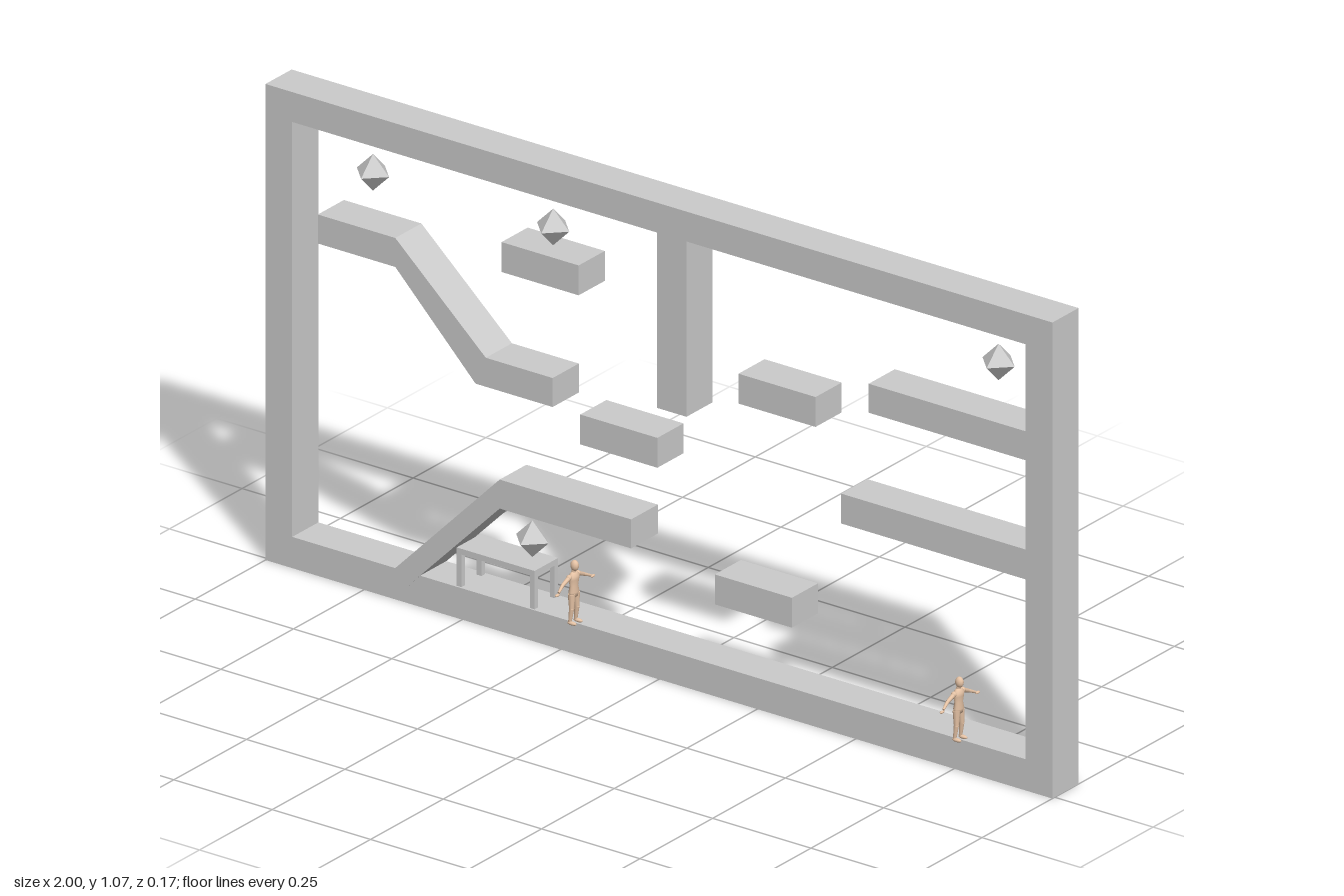
import * as THREE from 'three';

const grey = new THREE.MeshStandardMaterial({ color: 0xcccccc, flatShading: true });
const skin = new THREE.MeshStandardMaterial({ color: 0xe6c3a5 });
const BACK = -0.082, FRONT = 0.008, MID = (BACK + FRONT) / 2;

function add(parent, name, geometry, material = grey) {
  const mesh = new THREE.Mesh(geometry, material);
  mesh.name = name;
  parent.add(mesh);
  return mesh;
}

// Box given by its limits on each axis
function block(parent, name, x0, x1, y0, y1, z0 = BACK, z1 = FRONT) {
  const mesh = add(parent, name, new THREE.BoxGeometry(x1 - x0, y1 - y0, z1 - z0));
  mesh.position.set((x0 + x1) / 2, (y0 + y1) / 2, (z0 + z1) / 2);
}

// Outline in x, y extruded through the depth of the level
function slab(parent, name, points, hole, extra = 0) {
  const shape = new THREE.Shape(points.map(p => new THREE.Vector2(...p)));
  if (hole) shape.holes.push(new THREE.Path(hole.map(p => new THREE.Vector2(...p))));
  const depth = FRONT - BACK + 2 * extra;
  add(parent, name, new THREE.ExtrudeGeometry(shape, { depth, bevelEnabled: false }))
    .position.z = BACK - extra;
}

// Tapered limb between two points
function limb(parent, name, from, to, r0, r1) {
  const a = new THREE.Vector3(...from), b = new THREE.Vector3(...to);
  const dir = b.clone().sub(a);
  const mesh = add(parent, name, new THREE.CylinderGeometry(r1, r0, dir.length(), 10), skin);
  mesh.position.copy(a).add(b).multiplyScalar(0.5);
  mesh.quaternion.setFromUnitVectors(new THREE.Vector3(0, 1, 0), dir.normalize());
}

function ball(parent, name, at, size) {
  const mesh = add(parent, name, new THREE.SphereGeometry(1, 12, 8), skin);
  mesh.position.set(...at);
  mesh.scale.set(...size);
}

// Standing person facing +x, arms held out to the sides
function person(x) {
  const g = new THREE.Group();
  g.name = 'person';
  g.position.set(x, 0.072, 0.015);
  const profile = [[0, 0.06], [0.012, 0.062], [0.0145, 0.072], [0.0115, 0.086],
    [0.0145, 0.1], [0.015, 0.108], [0.008, 0.115], [0, 0.117]];
  const torso = add(g, 'torso',
    new THREE.LatheGeometry(profile.map(p => new THREE.Vector2(...p)), 16), skin);
  torso.scale.x = 0.62;
  limb(g, 'neck', [-0.001, 0.112, 0], [0.001, 0.124, 0], 0.005, 0.0045);
  ball(g, 'head', [0.002, 0.13, 0], [0.0095, 0.012, 0.008]);
  for (const s of [1, -1]) {
    ball(g, 'shoulder', [-0.001, 0.107, s * 0.015], [0.006, 0.006, 0.006]);
    limb(g, 'upperArm', [-0.001, 0.107, s * 0.014], [-0.002, 0.097, s * 0.036], 0.0052, 0.004);
    limb(g, 'forearm', [-0.002, 0.097, s * 0.036], [0.002, 0.088, s * 0.055], 0.004, 0.0026);
    ball(g, 'hand', [0.003, 0.085, s * 0.061], [0.0035, 0.003, 0.007]);
    limb(g, 'thigh', [0, 0.068, s * 0.0075], [0.001, 0.036, s * 0.009], 0.0082, 0.0055);
    limb(g, 'shin', [0.001, 0.036, s * 0.009], [-0.003, 0.004, s * 0.01], 0.0056, 0.0035);
    ball(g, 'foot', [0.003, 0.004, s * 0.0105], [0.0115, 0.0042, 0.0048]);
  }
  return g;
}

export function createModel() {
  const model = new THREE.Group();
  model.name = 'platformLevel';

  // Outer frame with one large opening
  slab(model, 'frame',
    [[-1, 0], [1, 0], [1, 1.067], [-1, 1.067]],
    [[-0.932, 0.07], [-0.932, 1], [0.932, 1], [0.932, 0.07]]);

  // Hanging pillar and wall shelves
  block(model, 'hangingPillar', -0.005, 0.07, 0.607, 1);
  block(model, 'upperShelf', 0.533, 0.932, 0.74, 0.805);
  block(model, 'lowerShelf', 0.463, 0.932, 0.473, 0.54);

  // Floating platforms: left edge and bottom
  for (const [x, y] of [[-0.4, 0.806], [0.202, 0.672], [-0.2, 0.473], [0.142, 0.206]]) {
    block(model, 'platform', x, x + 0.196, y, y + 0.067);
  }

  // Sloping platform and floor ramp
  slab(model, 'slopedPlatform', [[-0.867, 0.745], [-0.67, 0.745], [-0.466, 0.538],
    [-0.27, 0.538], [-0.27, 0.603], [-0.44, 0.603], [-0.67, 0.81], [-0.867, 0.81]]);
  slab(model, 'ramp', [[-0.67, 0.07], [-0.645, 0.03], [-0.607, 0.07], [-0.404, 0.275],
    [-0.07, 0.275], [-0.07, 0.34], [-0.404, 0.34]], null, 0.001);

  // Table under the ramp
  const table = new THREE.Group();
  table.name = 'table';
  model.add(table);
  block(table, 'tableTop', -0.517, -0.319, 0.143, 0.156, -0.077, 0.004);
  for (const x of [-0.517, -0.331]) {
    for (const z of [-0.077, -0.008]) {
      block(table, 'tableLeg', x, x + 0.012, 0.07, 0.143, z, z + 0.012);
    }
  }

  // Collectable gems
  for (const [x, y] of [[-0.76, 0.917], [-0.302, 0.917], [0.83, 0.917], [-0.355, 0.204]]) {
    add(model, 'gem', new THREE.OctahedronGeometry(0.041)).position.set(x, y, MID);
  }

  model.add(person(-0.211), person(0.767));
  return model;
}
